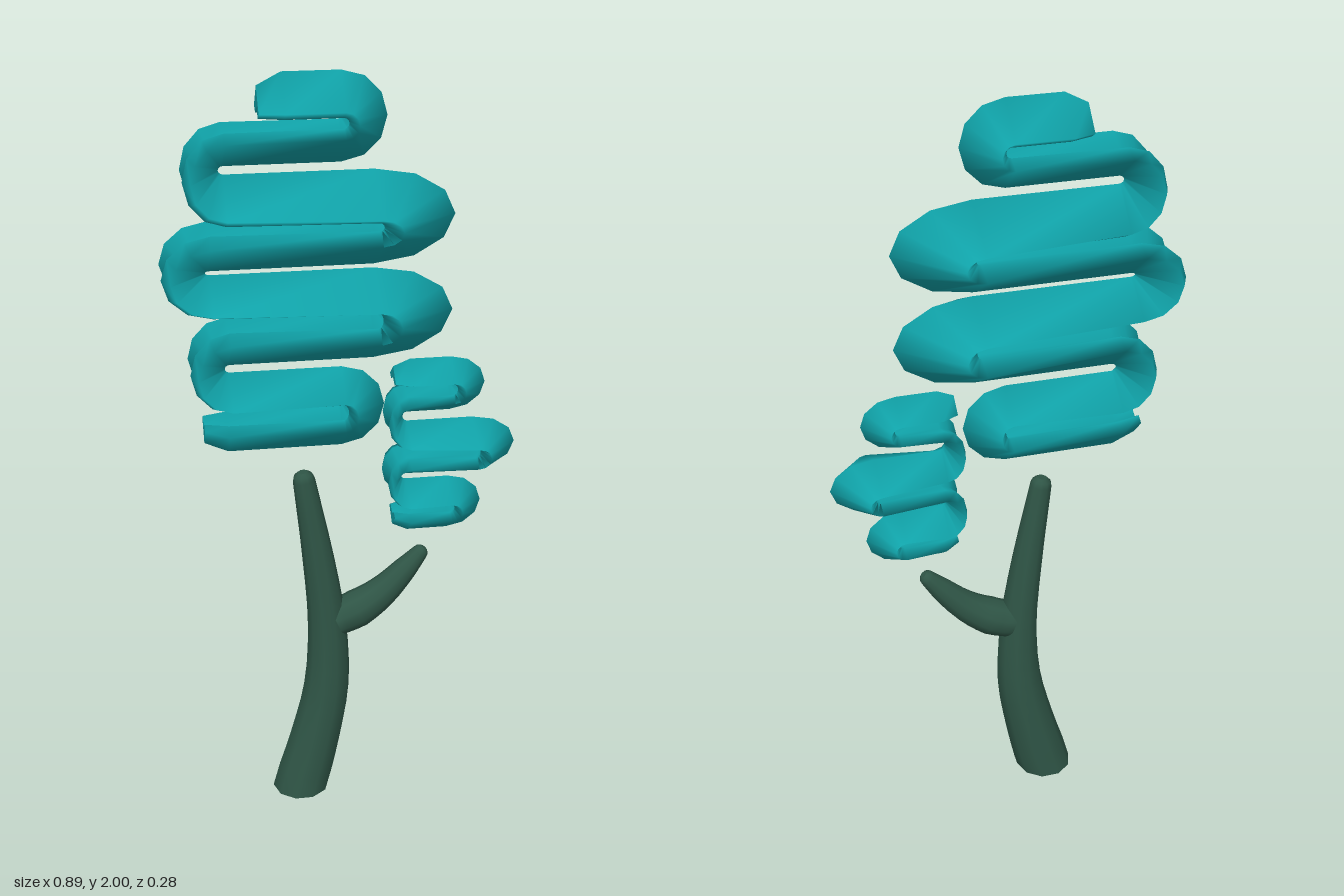
import * as THREE from 'three';

const foliageTeal = new THREE.MeshStandardMaterial({ color: 0x10a3a9 });
foliageTeal.name = 'foliageTeal';
const barkGreen = new THREE.MeshStandardMaterial({ color: 0x2f5546 });
barkGreen.name = 'barkGreen';

// Skin a list of equal-sized rings and close both ends with flat fans
function loft(rings, material, name) {
  const n = rings[0].length, pos = [], idx = [];
  const add = (v) => pos.push(v.x, v.y, v.z) / 3 - 1;
  rings.forEach((ring) => ring.forEach(add));
  for (let i = 0; i < rings.length - 1; i++) {
    for (let j = 0; j < n; j++) {
      const k = (j + 1) % n;
      const a = i * n + j, b = i * n + k, c = a + n, d = b + n;
      idx.push(a, b, c, b, d, c);
    }
  }
  [rings[0], rings[rings.length - 1]].forEach((ring, end) => {
    const mid = new THREE.Vector3();
    ring.forEach((v) => mid.addScaledVector(v, 1 / n));
    const c = add(mid), base = ring.map(add);
    for (let j = 0; j < n; j++) {
      const a = base[j], b = base[(j + 1) % n];
      if (end) idx.push(c, a, b);
      else idx.push(c, b, a);
    }
  });
  const geo = new THREE.BufferGeometry();
  geo.setAttribute('position', new THREE.Float32BufferAttribute(pos, 3));
  geo.setIndex(idx);
  geo.computeVertexNormals();
  const mesh = new THREE.Mesh(geo, material);
  mesh.name = name;
  return mesh;
}

// Grooved-back cross-section: ridge at (px,py), lobed back at (qx,qy), half width w
function ribbonRing(px, py, qx, qy, w) {
  const at = (t, z) => new THREE.Vector3(px + (qx - px) * t, py + (qy - py) * t, z * w);
  return [at(0, 0), at(0.8, 1), at(1, 0.58), at(0.7, 0), at(1, -0.58), at(0.8, -1)];
}

// Zigzag ribbon. strands: [ridgeY, backY]; bends alternate right, left: [startX, tipX, halfWidth]
function ribbon(name, strands, bends, start, end) {
  const rings = [];
  const tip = ([x0, x1, w], [ridge, back], atStart) => {
    const small = ribbonRing(x0, ridge + (back - ridge) * 0.3, x0, back, w * 0.6);
    const full = ribbonRing(x1, ridge, x1, back, w);
    rings.push(...(atStart ? [small, full] : [full, small]));
  };
  tip(start, strands[0], true);
  bends.forEach(([xs, xt, w], i) => {
    const [pa, qa] = strands[i], [pb, qb] = strands[i + 1];
    const right = i % 2 === 0;
    const reachP = right ? xt - xs : -0.012;
    const reachQ = right ? 0.012 : xt - xs;
    for (let k = 0; k <= 6; k++) {
      const a = Math.PI * (0.5 - k / 6), c = Math.cos(a), s = Math.sin(a);
      rings.push(ribbonRing(
        xs + reachP * c, (pa + pb) / 2 + (pa - pb) / 2 * s,
        xs + reachQ * c, (qa + qb) / 2 + (qa - qb) / 2 * s, w));
    }
  });
  tip(end, strands[strands.length - 1], false);
  return loft(rings, foliageTeal, name);
}

// Tapered limb through [x, y, radius] points; flatBase keeps the first ring level
function limb(name, pts, flatBase) {
  const curve = new THREE.CatmullRomCurve3(pts.map(([x, y]) => new THREE.Vector3(x, y, 0)));
  const steps = (pts.length - 1) * 3, sides = 10, rings = [];
  const ring = (p, t, r) => Array.from({ length: sides }, (_, j) => {
    const a = (j / sides) * Math.PI * 2;
    return new THREE.Vector3(p.x - t.y * r * Math.cos(a), p.y + t.x * r * Math.cos(a), r * Math.sin(a));
  });
  for (let i = 0; i <= steps; i++) {
    const u = i / steps, f = u * (pts.length - 1);
    const k = Math.min(Math.floor(f), pts.length - 2);
    const r = THREE.MathUtils.lerp(pts[k][2], pts[k + 1][2], f - k);
    const t = flatBase && i === 0 ? new THREE.Vector3(0, 1, 0) : curve.getTangent(u);
    rings.push(ring(curve.getPoint(u), t, r));
  }
  // Rounded end
  const p = curve.getPoint(1), t = curve.getTangent(1), r = pts[pts.length - 1][2];
  [[0.5, 0.85], [0.8, 0.45]].forEach(([h, s]) =>
    rings.push(ring(p.clone().addScaledVector(t, h * r), t, r * s)));
  return loft(rings, barkGreen, name);
}

export function createModel() {
  const tree = new THREE.Group();
  tree.name = 'tree';

  // Trunk and side branch
  tree.add(limb('trunk', [
    [-0.127, 0, 0.078], [-0.085, 0.16, 0.07], [-0.052, 0.33, 0.062],
    [-0.05, 0.52, 0.052], [-0.072, 0.72, 0.042], [-0.108, 0.955, 0.029],
  ], true));
  tree.add(limb('branch', [
    [-0.025, 0.535, 0.05], [0.035, 0.56, 0.052], [0.1, 0.605, 0.043],
    [0.16, 0.668, 0.033], [0.202, 0.717, 0.022],
  ], false));

  // Main zigzag crown
  tree.add(ribbon('largeCrown',
    [[2.0, 1.9], [1.785, 1.875], [1.765, 1.655], [1.53, 1.635],
      [1.52, 1.43], [1.285, 1.39], [1.265, 1.18], [1.05, 1.14]],
    [[-0.01, 0.1, 0.09], [-0.29, -0.39, 0.1], [0.07, 0.27, 0.14], [-0.33, -0.45, 0.108],
      [0.07, 0.27, 0.14], [-0.29, -0.39, 0.1], [-0.01, 0.1, 0.09]],
    [-0.208, -0.15, 0.09], [-0.36, -0.3, 0.08].map((v, i, a) => v)));

  // Small crown above the branch
  tree.add(ribbon('smallCrown',
    [[1.275, 1.215], [1.13, 1.185], [1.105, 1.045], [0.955, 1.015], [0.94, 0.88], [0.79, 0.855]],
    [[0.27, 0.36, 0.072], [0.16, 0.105, 0.08], [0.33, 0.445, 0.106],
      [0.16, 0.105, 0.085], [0.27, 0.36, 0.08]],
    [0.122, 0.165, 0.07], [0.125, 0.165, 0.07]));
  return tree;
}
